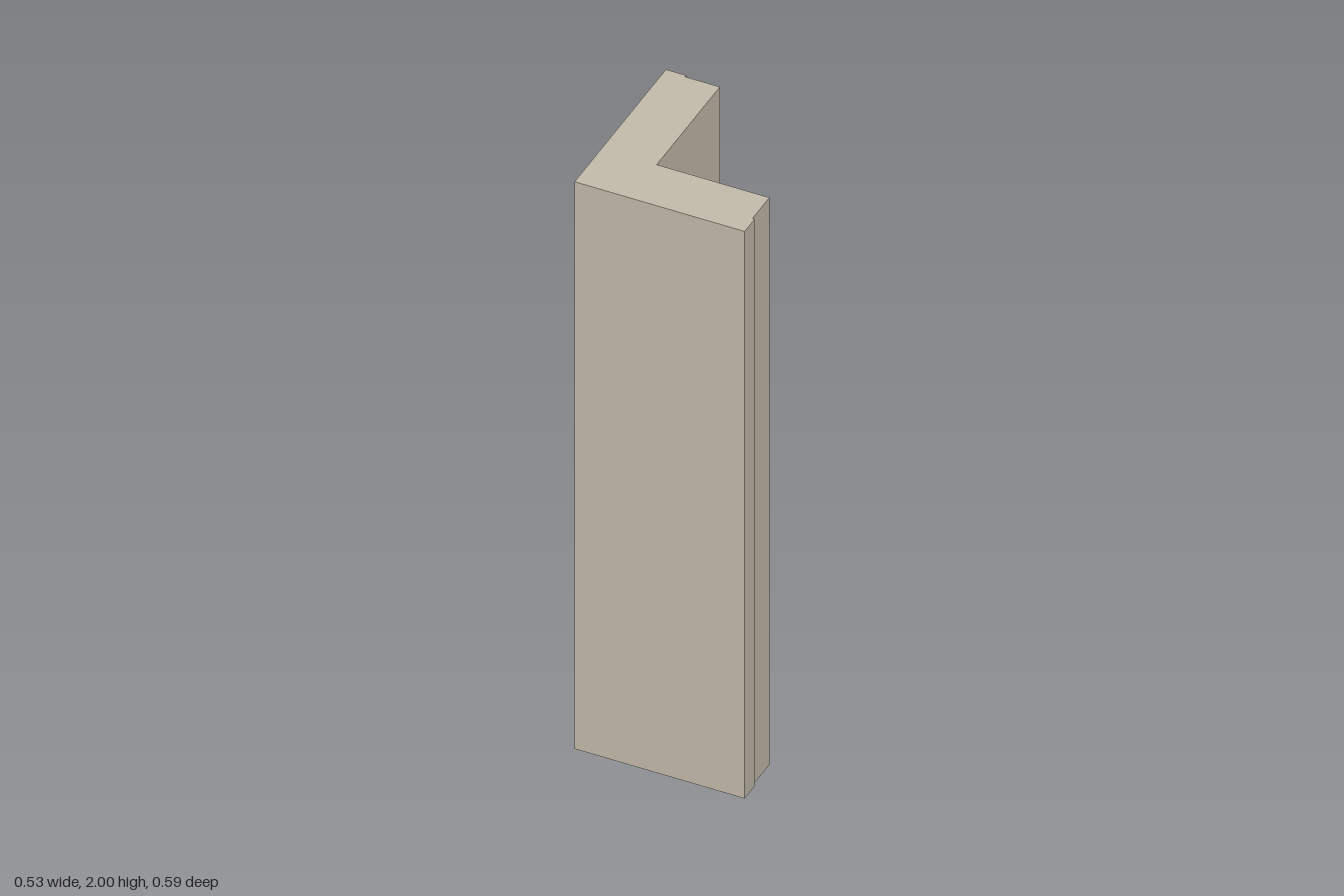
import * as THREE from 'three';

export function createModel() {
  const group = new THREE.Group();
  group.name = 'cornerPost';

  const stone = new THREE.MeshStandardMaterial({ color: 0xc4bcab });
  stone.name = 'warm stone';

  // L-shaped plan as [x, z], with a shallow lip on the end of each arm
  const plan = [
    [-0.267, 0.294], [0.267, 0.294],
    [0.267, 0.229], [0.26, 0.229], // lip of the front arm
    [0.26, 0.12], [-0.094, 0.12], // inner corner
    [-0.094, -0.287], [-0.203, -0.287],
    [-0.203, -0.294], [-0.267, -0.294], // lip of the side arm
  ];
  const shape = new THREE.Shape(plan.map(([x, z]) => new THREE.Vector2(x, -z)));

  // Extrude the plan upwards to full height
  const geometry = new THREE.ExtrudeGeometry(shape, { depth: 2, bevelEnabled: false });
  geometry.rotateX(-Math.PI / 2);

  const post = new THREE.Mesh(geometry, stone);
  post.name = 'cornerPanel';
  group.add(post);
  return group;
}
